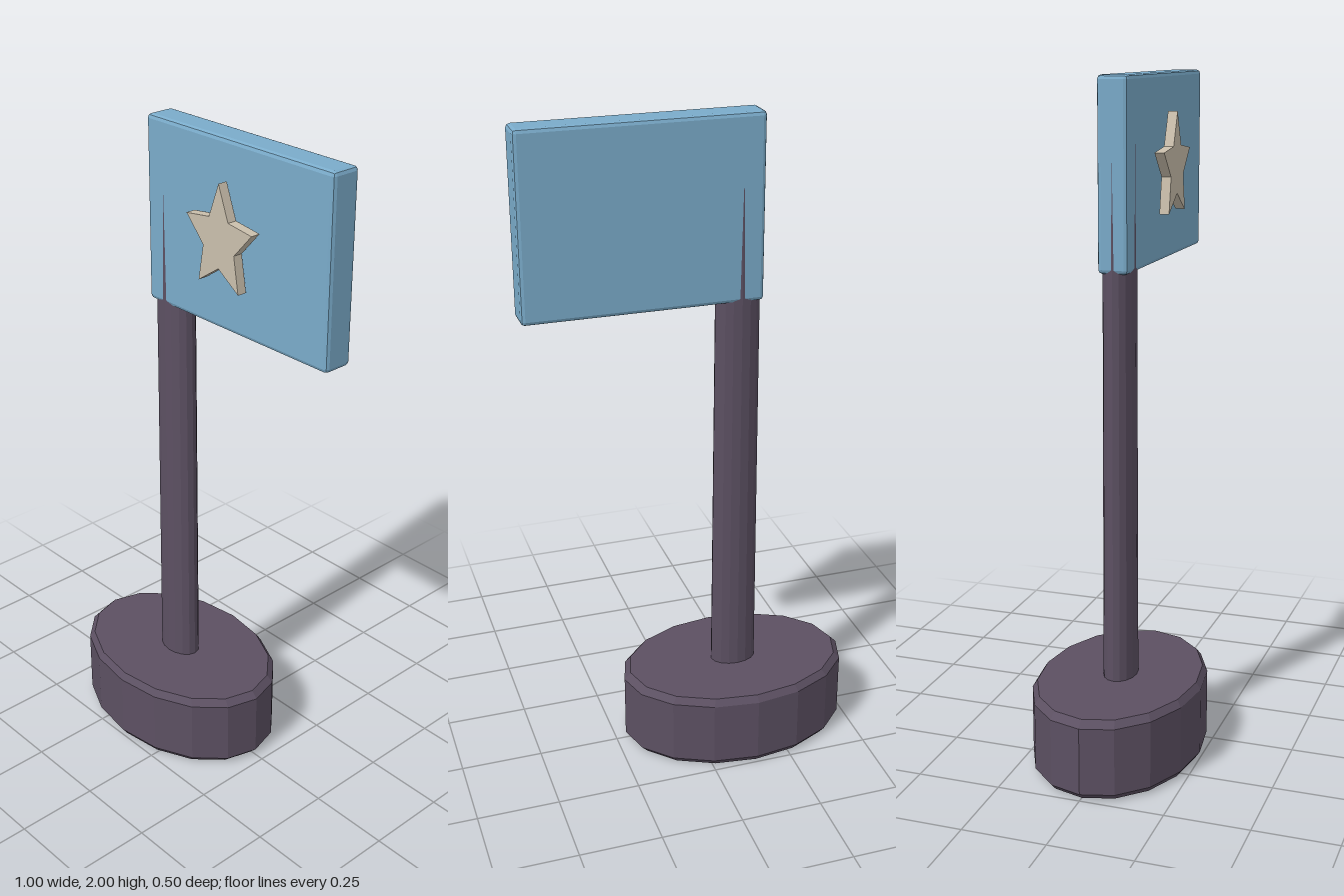
import * as THREE from 'three';
import { RoundedBoxGeometry } from 'three/addons/geometries/RoundedBoxGeometry.js';

const SIDES = 16;
const AXIS_X = -0.14; // centre line of base and pole
const FLATTEN = 0.694; // depth to width ratio of base and pole

function makeMaterial(name, color) {
  const m = new THREE.MeshStandardMaterial({ color, flatShading: true });
  m.name = name;
  return m;
}

// Faceted, oval turned part from [radius, height] pairs
function ovalLathe(name, profile, material) {
  const points = profile.map(([r, y]) => new THREE.Vector2(r, y));
  const geometry = new THREE.LatheGeometry(points, SIDES);
  geometry.scale(1, 1, FLATTEN);
  const mesh = new THREE.Mesh(geometry, material);
  mesh.name = name;
  mesh.position.x = AXIS_X;
  return mesh;
}

export function createModel() {
  const group = new THREE.Group();
  group.name = 'flagOnStand';
  const plum = makeMaterial('plum', 0x5c5062);
  const blue = makeMaterial('skyBlue', 0x7aabca);
  const beige = makeMaterial('beige', 0xcabfac);

  // Oval base with chamfered rims
  group.add(ovalLathe('base', [
    [0, 0], [0.34, 0], [0.36, 0.02], [0.36, 0.222], [0.34, 0.243], [0, 0.243],
  ], plum));

  // Slightly tapered pole, its ridges breaking through the flag
  group.add(ovalLathe('pole', [
    [0, 0.2], [0.0715, 0.22], [0.065, 1.9], [0, 1.9],
  ], plum));

  // Thick flag board with chamfered edges
  const left = -0.2055, right = 0.5, bottom = 1.458, top = 2;
  const flag = new THREE.Mesh(
    new RoundedBoxGeometry(right - left, top - bottom, 0.0906, 1, 0.012), blue);
  flag.name = 'flag';
  flag.position.set((left + right) / 2, (bottom + top) / 2, 0);
  group.add(flag);

  // Five-pointed star, taller than wide, standing just off the flag
  const shape = new THREE.Shape();
  for (let i = 0; i < 10; i++) {
    const k = i % 2 ? 0.475 : 1;
    const a = Math.PI / 2 + (i * Math.PI) / 5;
    const x = 0.133 * k * Math.cos(a), y = 0.16 * k * Math.sin(a);
    if (i) shape.lineTo(x, y); else shape.moveTo(x, y);
  }
  shape.closePath();
  const star = new THREE.Mesh(
    new THREE.ExtrudeGeometry(shape, { depth: 0.029, bevelEnabled: false }), beige);
  star.name = 'star';
  star.position.set(0.128, 1.73, 0.055);
  group.add(star);

  return group;
}
